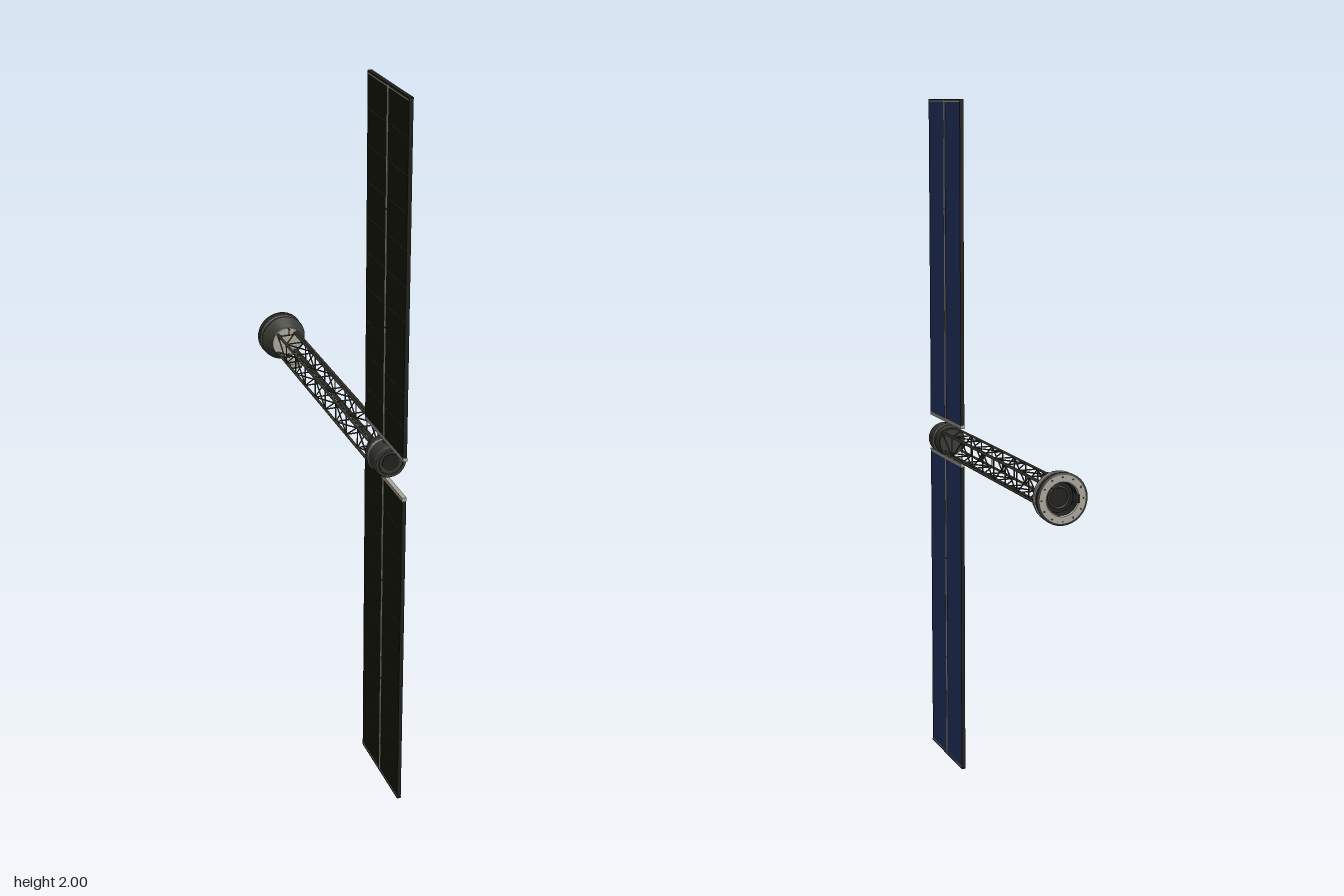
import * as THREE from 'three';
import { toCreasedNormals } from 'three/addons/utils/BufferGeometryUtils.js';

const paint = (name, color) => {
  const m = new THREE.MeshStandardMaterial({ color });
  m.name = name;
  return m;
};

export function createModel() {
  const model = new THREE.Group();
  model.name = 'trussSpacecraft';
  const hull = paint('charcoal hull', 0x3a3b35);
  const strut = paint('dark strut', 0x3d3b33);
  const trim = paint('pale grey trim', 0xaaa79c);
  const cells = paint('blue solar cells', 0x29396c);
  const backing = paint('dark panel backing', 0x191a0b);
  const black = paint('black recess', 0x20211d);

  const add = (parent, name, geo, mat, x = 0, y = 0, z = 0) => {
    const m = new THREE.Mesh(geo, mat);
    m.name = name;
    m.position.set(x, y, z);
    parent.add(m);
    return m;
  };
  const box = (p, name, mat, w, h, d, x, y, z) => add(p, name, new THREE.BoxGeometry(w, h, d), mat, x, y, z);
  // Turned part along z; points are [radius, z], running from back to front
  const turned = (p, name, mat, pts) => {
    const g = new THREE.LatheGeometry(pts.map(([r, z]) => new THREE.Vector2(r, z)), 32);
    g.rotateX(Math.PI / 2);
    return add(p, name, toCreasedNormals(g, 0.4), mat);
  };
  // Round bar between two points
  const bar = (p, name, mat, r, a, b) => {
    const from = new THREE.Vector3(...a), dir = new THREE.Vector3(...b).sub(from);
    const m = add(p, name, new THREE.CylinderGeometry(r, r, dir.length(), 6), mat);
    m.position.copy(from).addScaledVector(dir, 0.5);
    m.quaternion.setFromUnitVectors(new THREE.Vector3(0, 1, 0), dir.normalize());
    return m;
  };

  // Everything on the long axis is built around y = 0, then lifted
  const body = new THREE.Group();
  body.name = 'body';
  body.position.y = 1;
  model.add(body);

  // Square lattice truss
  const truss = new THREE.Group();
  truss.name = 'truss';
  body.add(truss);
  const s = 0.03, z0 = -0.44, z1 = 0.335, bays = 9, step = (z1 - z0) / bays;
  const corners = [[s, s], [-s, s], [-s, -s], [s, -s]];
  corners.forEach(([x, y], i) => {
    const [u, v] = corners[(i + 1) % 4];
    bar(truss, 'chord', strut, 0.004, [x, y, z0], [x, y, z1]);
    for (let b = 0; b <= bays; b++) {
      const z = z0 + b * step;
      bar(truss, 'crossBar', strut, 0.002, [x, y, z], [u, v, z]);
      if (b === bays) continue;
      const flip = b % 2 === 0;
      bar(truss, 'diagonal', strut, 0.002, [x, y, flip ? z : z + step], [u, v, flip ? z + step : z]);
    }
  });
  for (const y of [0.028, -0.028]) bar(truss, 'conduit', hull, 0.004, [0.023, y, z0], [0.023, y, z1]);

  // Front engine hub
  const hub = new THREE.Group();
  hub.name = 'hub';
  body.add(hub);
  turned(hub, 'hubCollar', hull, [[0, 0.33], [0.039, 0.33], [0.039, 0.342], [0.034, 0.342], [0.034, 0.352]]);
  turned(hub, 'hubRear', hull, [[0, 0.346], [0.042, 0.346], [0.046, 0.35], [0.046, 0.366]]);
  turned(hub, 'hubBand', trim, [[0.045, 0.366], [0.048, 0.366], [0.048, 0.374], [0.045, 0.374]]);
  turned(hub, 'hubDrum', hull, [[0.046, 0.374], [0.046, 0.412], [0.042, 0.419], [0.034, 0.419], [0.034, 0.415], [0, 0.415]]);
  add(hub, 'hubRing', new THREE.TorusGeometry(0.034, 0.002, 6, 32), strut, 0, 0, 0.419);
  turned(hub, 'hubCap', black, [[0.024, 0.414], [0.024, 0.418], [0, 0.418]]);

  // Rear docking bell
  const dock = new THREE.Group();
  dock.name = 'dockingBell';
  body.add(dock);
  turned(dock, 'dockRecess', black, [[0, -0.482], [0.04, -0.482], [0.043, -0.507]]);
  turned(dock, 'dockFace', trim, [[0.043, -0.507], [0.046, -0.51], [0.064, -0.51]]);
  turned(dock, 'dockRim', hull, [[0.064, -0.51], [0.07, -0.508], [0.07, -0.503], [0.066, -0.503], [0.066, -0.486]]);
  turned(dock, 'dockBand', trim, [[0.064, -0.486], [0.069, -0.486], [0.069, -0.478], [0.064, -0.478]]);
  turned(dock, 'dockCone', hull, [[0.068, -0.478], [0.068, -0.472], [0.046, -0.442]]);
  turned(dock, 'dockNeck', trim, [[0.046, -0.442], [0.046, -0.435], [0, -0.435]]);
  add(dock, 'innerRing', new THREE.TorusGeometry(0.028, 0.003, 6, 32), hull, 0, 0, -0.484);
  for (let i = 0; i < 12; i++) {
    const a = i * Math.PI / 6;
    const latch = box(dock, 'latch', strut, 0.004, 0.004, 0.004, Math.cos(a) * 0.058, Math.sin(a) * 0.058, -0.51);
    latch.rotation.z = a;
  }
  for (let i = 0; i < 3; i++) {
    const a = 1.05 + i * Math.PI * 2 / 3;
    const petal = box(dock, 'guidePetal', hull, 0.004, 0.022, 0.034, Math.cos(a) * 0.041, Math.sin(a) * 0.041, -0.503);
    petal.rotation.z = a;
  }

  // Equipment pod below the truss, small antenna above it
  const pod = new THREE.Group();
  pod.name = 'equipmentPod';
  body.add(pod);
  box(pod, 'podCase', trim, 0.036, 0.01, 0.054, 0, -0.04, -0.375);
  box(pod, 'podBase', hull, 0.03, 0.004, 0.058, 0, -0.047, -0.375);
  add(pod, 'podSensor', new THREE.SphereGeometry(0.008, 12, 8), hull, 0, -0.038, -0.418);
  bar(pod, 'podArm', strut, 0.003, [0, -0.04, -0.4], [0, -0.038, -0.418]);
  bar(body, 'antennaMast', strut, 0.0015, [0, s, -0.418], [0, 0.05, -0.418]);
  bar(body, 'antennaTip', strut, 0.002, [0, 0.05, -0.425], [0, 0.05, -0.409]);
  bar(body, 'antennaFoot', strut, 0.002, [-s, s, -0.418], [s, s, -0.418]);

  // Two solar wings, above and below the hub
  const px = -0.003, pz = 0.385, inner = 0.056, outer = 1, len = outer - inner, mid = (inner + outer) / 2;
  for (const dir of [1, -1]) {
    const wing = new THREE.Group();
    wing.name = dir > 0 ? 'upperWing' : 'lowerWing';
    body.add(wing);
    bar(wing, 'wingRoot', strut, 0.006, [px, dir * 0.035, pz], [px, dir * 0.065, pz]);
    for (const side of [1, -1]) {
      const z = pz + side * 0.07;
      box(wing, 'panelBacking', backing, 0.006, len, 0.128, px - 0.002, dir * mid, z);
      box(wing, 'panelCells', cells, 0.004, len - 0.008, 0.126, px + 0.003, dir * mid, z);
      box(wing, 'panelEdge', black, 0.011, len, 0.002, px, dir * mid, pz + side * 0.135);
      box(wing, 'spineGap', black, 0.0105, len, 0.003, px, dir * mid, pz + side * 0.0055);
    }
    box(wing, 'wingSpine', trim, 0.012, len - 0.004, 0.008, px, dir * mid, pz);
    box(wing, 'rootBar', trim, 0.012, 0.01, 0.274, px, dir * (inner + 0.001), pz);
    box(wing, 'tipStrip', trim, 0.0115, 0.003, 0.268, px, dir * (outer - 0.0065), pz);
    box(wing, 'tipBar', black, 0.012, 0.005, 0.274, px, dir * (outer - 0.0025), pz);
    // Hinge seams across the back and clips on the spine
    for (let i = 1; i < 10; i++) {
      box(wing, 'seam', strut, 0.002, 0.002, 0.268, px - 0.005, dir * (inner + len * i / 10), pz);
    }
    for (let i = 1; i < 3; i++) box(wing, 'spineClip', strut, 0.013, 0.004, 0.008, px, dir * (inner + len * i / 3), pz);
  }
  return model;
}
